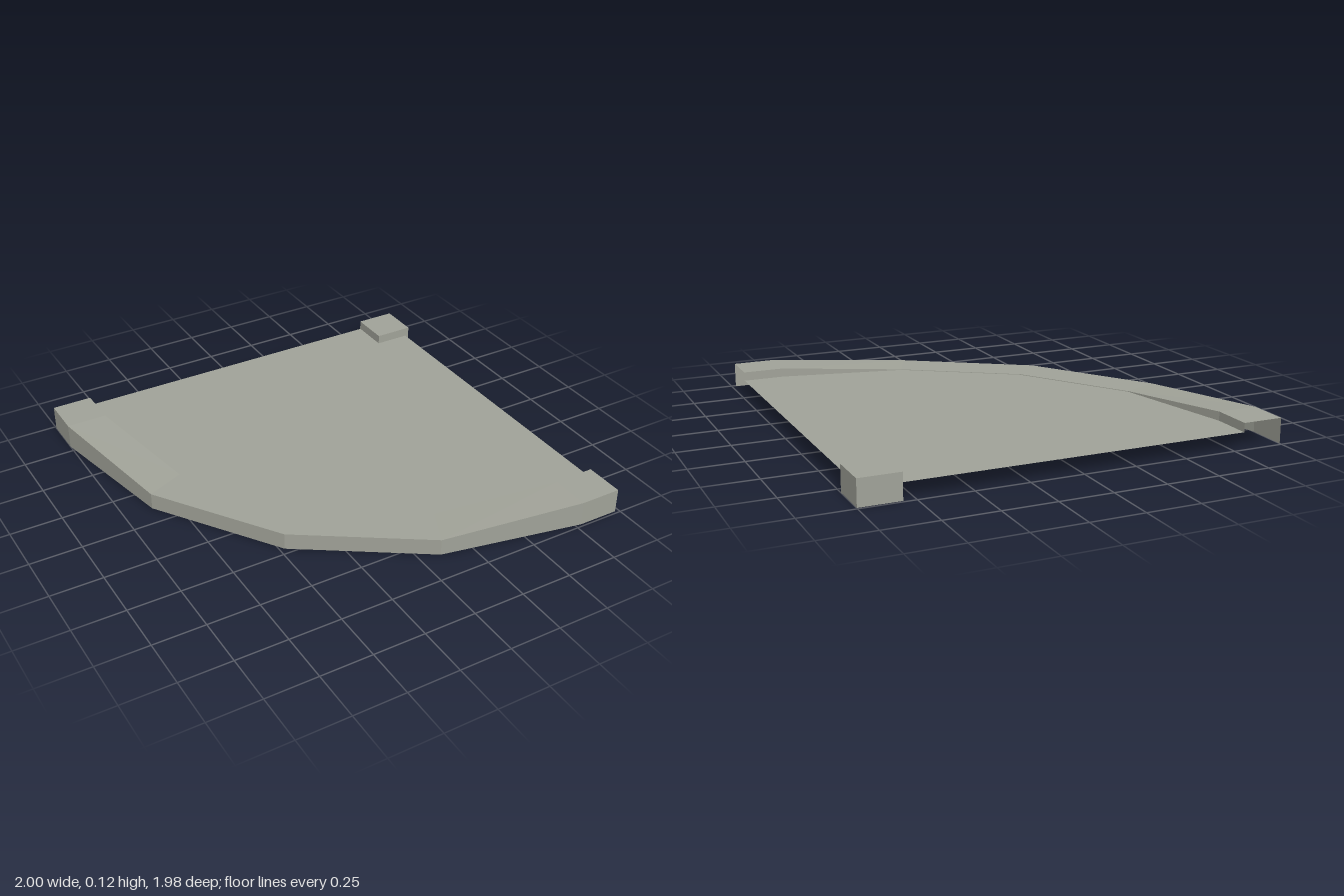
import * as THREE from 'three';

const stone = new THREE.MeshStandardMaterial({
  name: 'greyStone', color: 0xa0a298, flatShading: true, side: THREE.DoubleSide,
});

const FLOOR = 0.077;

// Stations along the kerb: [outerX, outerZ, innerX, innerZ, top]
const kerb = [
  [-1.0, -0.987, -0.805, -0.987, 0.12],
  [-1.0, -0.79, -0.805, -0.79, 0.12],
  [-0.862, -0.11, -0.68, -0.19, 0.08],
  [-0.477, 0.465, -0.34, 0.325, 0.08],
  [0.1, 0.85, 0.18, 0.67, 0.08],
  [0.78, 0.987, 0.78, 0.792, 0.12],
  [0.98, 0.987, 0.98, 0.792, 0.12],
];

// Cross-section at a station: outer foot, outer rim, inner rim, inner foot
const section = ([ox, oz, ix, iz, top]) => [
  [ox, 0, oz], [ox, top, oz], [ix, top, iz], [ix, FLOOR, iz],
];

// Flat-faced strip lofted through a run of stations
function loft(name, stations) {
  const pos = [];
  for (let i = 0; i < stations.length - 1; i++) {
    const a = section(stations[i]), b = section(stations[i + 1]);
    for (let j = 0; j < 3; j++) {
      pos.push(...a[j], ...b[j], ...b[j + 1], ...a[j], ...b[j + 1], ...a[j + 1]);
    }
  }
  const g = new THREE.BufferGeometry();
  g.setAttribute('position', new THREE.Float32BufferAttribute(pos, 3));
  g.computeVertexNormals();
  return named(name, g);
}

function named(name, geometry) {
  const mesh = new THREE.Mesh(geometry, stone);
  mesh.name = name;
  return mesh;
}

export function createModel() {
  const group = new THREE.Group();
  group.name = 'quarterRoundPlatform';

  // Thin floor bounded by the inner line of the kerb
  const outline = kerb.map(([, , x, z]) => new THREE.Vector2(x, -z));
  outline.push(new THREE.Vector2(0.98, 0.987));
  const floor = new THREE.ShapeGeometry(new THREE.Shape(outline));
  floor.rotateX(-Math.PI / 2).translate(0, FLOOR, 0);
  group.add(named('floor', floor));

  // Hollow kerb: level end blocks and a sweep dipping in the middle
  group.add(loft('leftEndBlock', kerb.slice(0, 2)));
  group.add(loft('curvedKerb', kerb.slice(1, 6)));
  group.add(loft('frontEndBlock', kerb.slice(5)));

  // Corner post, open underneath: drop the bottom face of the box
  const box = new THREE.BoxGeometry(0.193, 0.122, 0.195);
  const index = Array.from(box.index.array);
  index.splice(18, 6);
  box.setIndex(index);
  box.clearGroups();
  box.translate(0.9025, 0.061, -0.8925);
  group.add(named('cornerPost', box));

  return group;
}
